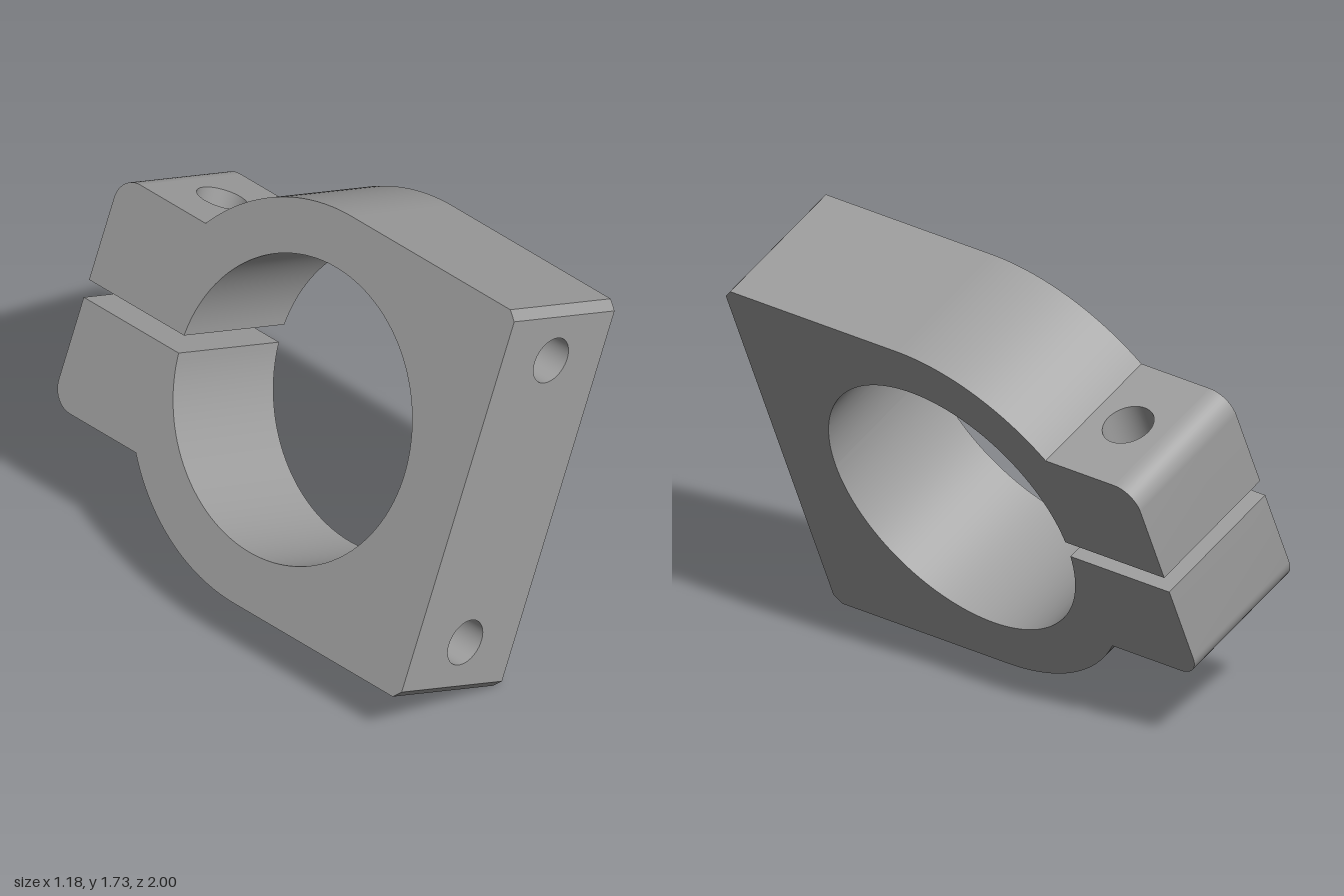
import * as THREE from 'three';
import { toCreasedNormals } from 'three/addons/utils/BufferGeometryUtils.js';

const W = 0.295;          // half width
const R = 0.815;          // outer radius and half height
const BORE = 0.6;         // bore radius
const C = -0.11;          // bore centre, measured towards the back
const SLOT = 0.037;       // half slot height
const EAR = 0.483;        // outer face of the ear
const EAR_START = C + Math.sqrt(R * R - EAR * EAR);
const BORE_END = C + Math.sqrt(BORE * BORE - SLOT * SLOT);
const FILLET = 0.1;
const CHAMFER = 0.035;

// Points on an arc in the side plane (s = towards the back, v = up)
function arc(cs, cv, r, a0, a1, n) {
  return Array.from({ length: n + 1 }, (_, i) => {
    const a = a0 + (a1 - a0) * i / n;
    return new THREE.Vector2(cs + r * Math.cos(a), cv + r * Math.sin(a));
  });
}

// Walls across the full width along a chain of side-plane points
function walls(points) {
  const pos = [];
  for (let i = 0; i + 1 < points.length; i++) {
    const p = points[i], q = points[i + 1];
    for (const [t, u] of [[p, W], [p, -W], [q, -W], [p, W], [q, -W], [q, W]]) pos.push(u, t.y, -t.x);
  }
  const geo = new THREE.BufferGeometry();
  geo.setAttribute('position', new THREE.Float32BufferAttribute(pos, 3));
  return toCreasedNormals(geo, 0.35);
}

// Full-width flat plate with one round hole
function holedPlate(y0, y1, holeY, r) {
  const shape = new THREE.Shape([[-W, y0], [W, y0], [W, y1], [-W, y1]].map(p => new THREE.Vector2(...p)));
  shape.holes.push(new THREE.Path().absarc(0, holeY, r, 0, Math.PI * 2, true));
  return new THREE.ShapeGeometry(shape, 24);
}

export function createModel() {
  const metal = new THREE.MeshStandardMaterial({ color: 0xa0a0a0, side: THREE.DoubleSide });
  const half = new THREE.Group();
  half.name = 'clampHalf';
  const add = (name, geo) => {
    const mesh = new THREE.Mesh(geo, metal);
    mesh.name = name;
    half.add(mesh);
  };

  // Outline of one half
  const V = (s, v) => new THREE.Vector2(s, v);
  const earEnd = [V(1, SLOT), ...arc(1 - FILLET, EAR - FILLET, FILLET, 0, Math.PI / 2, 12)];
  const outer = [
    ...arc(C, 0, R, Math.asin(EAR / R), Math.PI / 2, 32),
    V(-1 + CHAMFER, R), V(-1, R - CHAMFER)
  ];
  const bore = arc(C, 0, BORE, Math.PI, Math.asin(SLOT / BORE), 64);

  add('earEnd', walls(earEnd));
  add('outerWall', walls(outer));
  add('boreWall', walls(bore));
  const side = new THREE.Shape([...earEnd, ...outer, V(-1, 0), ...bore]);
  add('sideFace', new THREE.ShapeGeometry(side).rotateY(Math.PI / 2).translate(W, 0, 0));
  // Opposite side of the same half
  const back = new THREE.Shape([...earEnd, ...outer, V(-1, 0), ...bore].map(p => V(-p.x, p.y)));
  add('oppositeSideFace', new THREE.ShapeGeometry(back).rotateY(-Math.PI / 2).translate(-W, 0, 0));

  // Ear faces and the bolt hole through them
  const boltZ = 0.725, boltR = 0.103;
  add('earOuterFace', holedPlate(EAR_START, 1 - FILLET, boltZ, boltR).rotateX(-Math.PI / 2).translate(0, EAR, 0));
  add('earSlotFace', holedPlate(-1, -BORE_END, -boltZ, boltR).rotateX(Math.PI / 2).translate(0, SLOT, 0));
  add('boltHole', new THREE.CylinderGeometry(boltR, boltR, EAR - SLOT, 48, 1, true)
    .translate(0, (EAR + SLOT) / 2, -boltZ));

  // Mounting face with a blind screw hole
  const screwY = 0.594, screwR = 0.095, depth = 0.4;
  add('mountingFace', holedPlate(0, R - CHAMFER, screwY, screwR).translate(0, 0, 1));
  add('screwHole', new THREE.CylinderGeometry(screwR, screwR, depth, 48, 1, true)
    .rotateX(Math.PI / 2).translate(0, screwY, 1 - depth / 2));
  add('screwHoleBottom', new THREE.CircleGeometry(screwR, 48).translate(0, screwY, 1 - depth));

  // The second half is the first turned half way round
  const clamp = new THREE.Group();
  clamp.name = 'splitClamp';
  const lower = half.clone();
  lower.name = 'clampLowerHalf';
  lower.rotation.z = Math.PI;
  clamp.add(half, lower);
  clamp.rotation.z = -THREE.MathUtils.degToRad(23);
  clamp.position.y = 0.866;

  const model = new THREE.Group();
  model.name = 'tiltedShaftClamp';
  model.add(clamp);
  return model;
}
